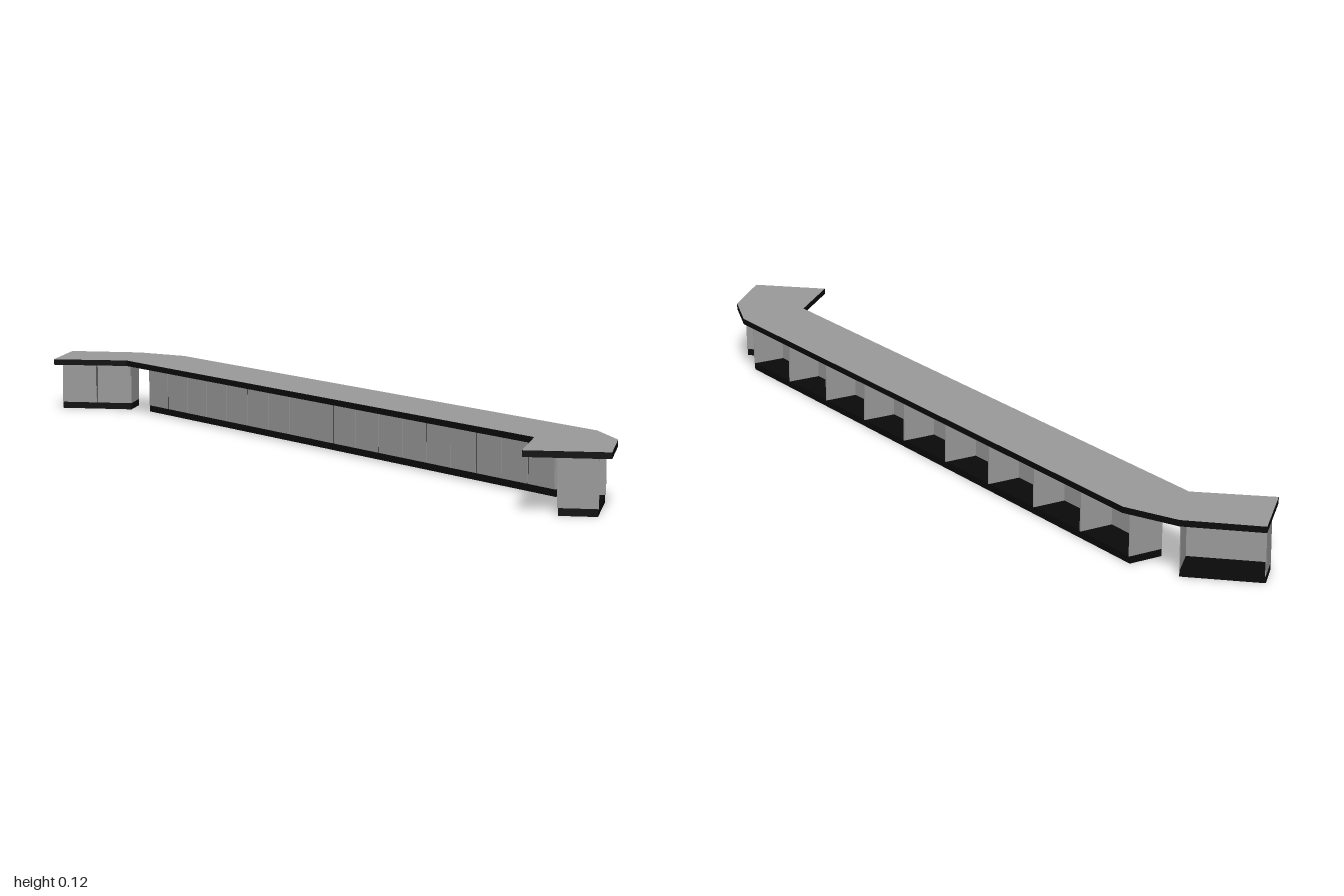
import * as THREE from 'three';

export function createModel() {
  const model = new THREE.Group();
  const grey = new THREE.MeshStandardMaterial({ color: 0x999999 });
  grey.name = 'panelGrey';
  const black = new THREE.MeshStandardMaterial({ color: 0x0a0a0a });
  black.name = 'trimBlack';

  function box(parent, name, mat, w, h, d, x, y, z) {
    const mesh = new THREE.Mesh(new THREE.BoxGeometry(w, h, d), mat);
    mesh.name = name;
    mesh.position.set(x, y, z);
    parent.add(mesh);
  }

  // Worktop outline in plan, (x, -z): a long run with both ends angled forward
  const half = [[0.76, 0.144], [0.88, 0.096], [1, -0.022], [0.88, -0.144], [0.76, -0.016]];
  const mirrored = half.map(([x, y]) => [-x, y]).reverse();
  const outline = new THREE.Shape([...half, ...mirrored].map(([x, y]) => new THREE.Vector2(x, y)));

  const slabGeo = new THREE.ExtrudeGeometry(outline, { depth: 0.0125, bevelEnabled: false });
  slabGeo.rotateX(-Math.PI / 2);
  const slab = new THREE.Mesh(slabGeo, black);
  slab.name = 'worktopSlab';
  slab.position.y = 0.112;
  model.add(slab);

  // Grey surface laid on the slab
  const topGeo = new THREE.ShapeGeometry(outline);
  topGeo.rotateX(-Math.PI / 2);
  const top = new THREE.Mesh(topGeo, grey);
  top.name = 'worktopSurface';
  top.position.y = 0.125;
  model.add(top);

  // Open-backed cabinet: closed two-door front on +z, open on -z
  const W = 0.1675, D = 0.08, T = 0.003, Y0 = 0.015, Y1 = 0.112;
  const H = Y1 - Y0, midY = (Y0 + Y1) / 2;
  function cabinet(x, z, angle) {
    const unit = new THREE.Group();
    unit.name = 'cabinet';
    unit.position.set(x, 0, z);
    unit.rotation.y = angle;
    box(unit, 'plinth', black, W, Y0, D - 0.004, 0, Y0 / 2, 0);
    box(unit, 'frontPanel', grey, W, H, T, 0, midY, D / 2 - T / 2 - 0.001);
    box(unit, 'ceilingPanel', grey, W, T, D - 0.002, 0, Y1 - T / 2 - 0.0005, 0);
    for (const s of [-1, 1]) {
      box(unit, 'sidePanel', grey, T / 2, H, D - 0.001, s * (W / 2 - T / 4), midY, -0.0005);
      box(unit, 'door', grey, W / 2 - 0.002, H, 0.001, s * W / 4, midY, D / 2 - 0.0005);
    }
    // Narrow dark joint between the doors
    box(unit, 'doorJoint', black, 0.0016, H, 0.0006, 0, midY, D / 2 - 0.0007);
    model.add(unit);
  }

  // Straight run of nine cabinets, plus one angled cabinet at each end
  for (let i = -4; i <= 4; i++) cabinet(i * W, -0.082, 0);
  for (const s of [-1, 1]) cabinet(s * 0.894, 0.006, -s * Math.PI / 4);

  return model;
}
